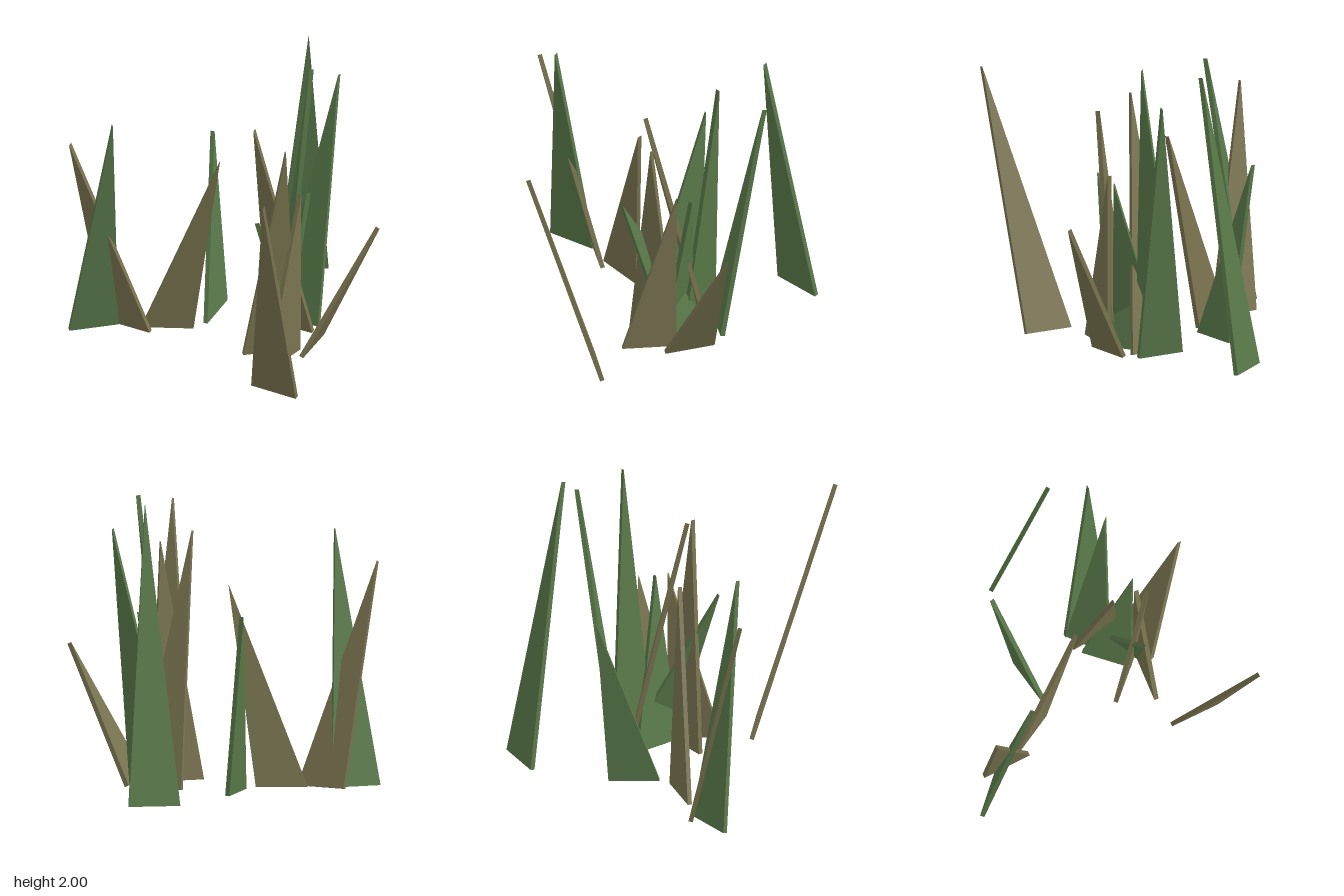
import * as THREE from 'three';

const THICK = 0.03;
const BASE_Y = 0.008;

// A flat tapering blade: ground corners a and b given as [x, z], tip as [x, y, z]
function bladeGeometry(a, b, tip) {
  const A = new THREE.Vector3(a[0], BASE_Y, a[1]);
  const B = new THREE.Vector3(b[0], BASE_Y, b[1]);
  const T = new THREE.Vector3(...tip).sub(A);
  const u = B.clone().sub(A);
  const width = u.length();
  u.normalize();
  const n = u.clone().cross(T).normalize();
  const v = n.clone().cross(u);

  const shape = new THREE.Shape([
    new THREE.Vector2(0, 0),
    new THREE.Vector2(width, 0),
    new THREE.Vector2(T.dot(u), T.dot(v)),
  ]);
  const geo = new THREE.ExtrudeGeometry(shape, { depth: THICK, bevelEnabled: false });
  geo.translate(0, 0, -THICK / 2);
  return geo.applyMatrix4(new THREE.Matrix4().makeBasis(u, v, n).setPosition(A));
}

// Ground corners and tip of every blade
const GREEN_BLADES = [
  [[-0.575, -0.975], [-0.76, -0.68], [-0.375, 1.995, -0.665]],
  [[-0.29, -0.325], [0.02, -0.46], [-0.105, 1.81, -0.72]],
  [[-0.28, -0.335], [0.0, -0.185], [-0.01, 1.995, -0.42]],
  [[-0.635, -0.165], [-0.46, 0.13], [-0.79, 1.24, -0.17]],
  [[-0.935, 0.915], [-0.81, 0.6], [-0.587, 1.715, 0.81]],
  [[-0.18, -0.21], [0.14, -0.08], [0.16, 1.17, -0.27]],
  [[-0.08, -0.34], [0.19, -0.14], [0.21, 1.12, 0.195]],
];
const OLIVE_BLADES = [
  [[-0.245, -0.235], [0.055, -0.385], [0.01, 1.705, 0.07]],
  [[0.11, -0.42], [0.28, -0.12], [0.5, 0.95, -0.595]],
  [[0.375, 0.355], [0.695, 0.22], [0.94, 1.75, 0.675]],
  [[-0.465, 0.225], [-0.685, 0.495], [-0.25, 1.365, 0.165]],
  [[-0.905, 0.63], [-0.59, 0.49], [-0.84, 1.51, 0.975]],
  [[0.015, 0.17], [0.16, -0.17], [0.24, 1.61, -0.02]],
  [[0.29, 0.17], [0.18, -0.175], [0.18, 1.2, -0.18]],
];

export function createModel() {
  const group = new THREE.Group();
  group.name = 'grassTuft';

  const green = new THREE.MeshStandardMaterial({ color: 0x5a7a4a });
  green.name = 'leafGreen';
  const olive = new THREE.MeshStandardMaterial({ color: 0x7a7450 });
  olive.name = 'dryOlive';

  const addBlades = (blades, material, name) => blades.forEach((blade, i) => {
    const mesh = new THREE.Mesh(bladeGeometry(...blade), material);
    mesh.name = `${name}${i + 1}`;
    group.add(mesh);
  });
  addBlades(GREEN_BLADES, green, 'greenBlade');
  addBlades(OLIVE_BLADES, olive, 'dryBlade');
  return group;
}
